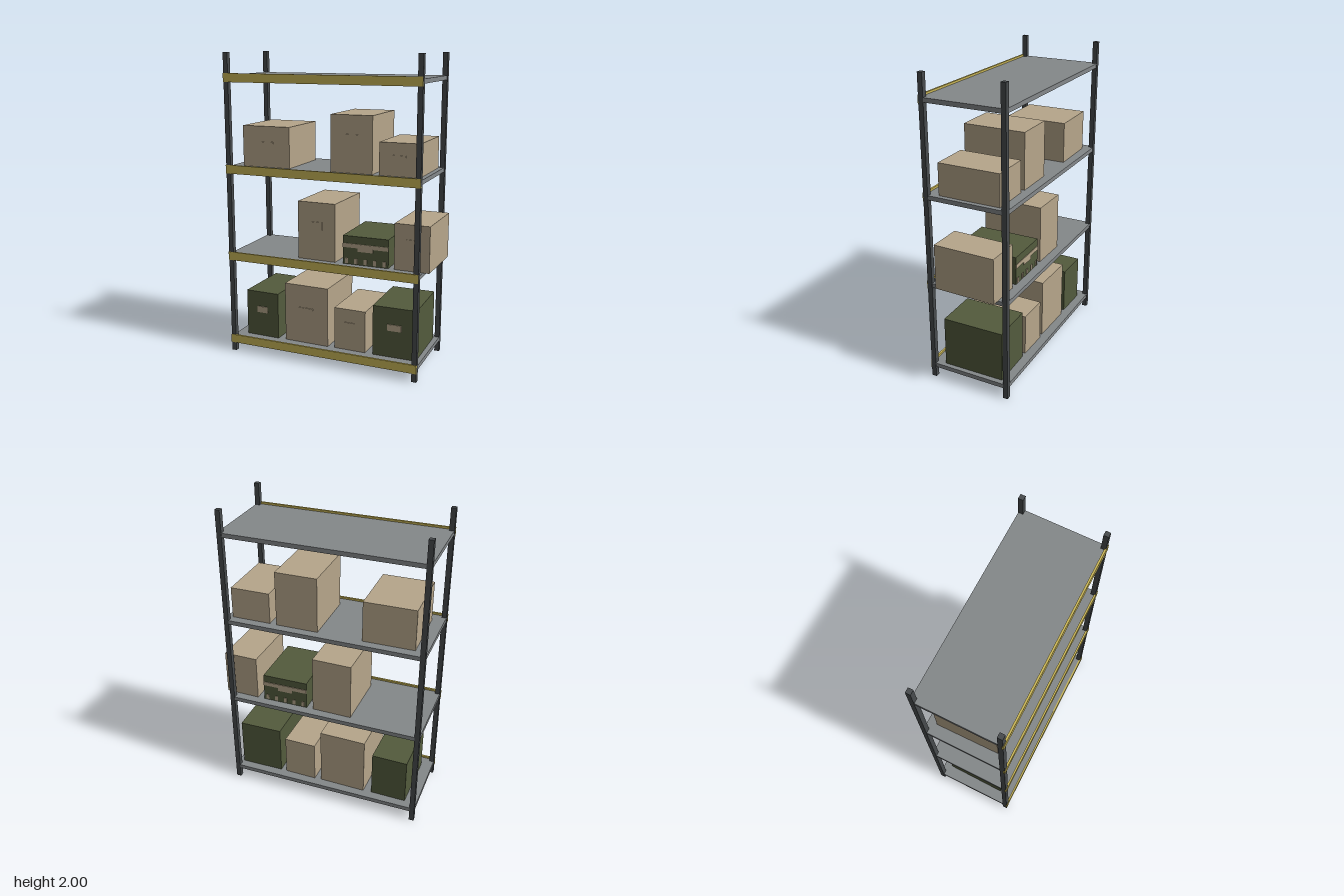
import * as THREE from 'three';

const mat = (name, color) => new THREE.MeshStandardMaterial({ name, color });

export function createModel() {
  const steel = mat('dark steel', 0x474b4d);
  const grey = mat('shelf grey', 0x84888a);
  const yellow = mat('beam yellow', 0xc9b657);
  const tan = mat('cardboard tan', 0xb6a68b);
  const green = mat('crate green', 0x535b3d);
  const model = new THREE.Group();
  model.name = 'storageRack';

  // Box given by its lower and upper limits on each axis
  function block(parent, name, material, x0, x1, y0, y1, z0, z1) {
    const mesh = new THREE.Mesh(new THREE.BoxGeometry(x1 - x0, y1 - y0, z1 - z0), material);
    mesh.position.set((x0 + x1) / 2, (y0 + y1) / 2, (z0 + z1) / 2);
    mesh.name = name;
    parent.add(mesh);
    return mesh;
  }

  // Corner posts
  for (const x of [-0.682, 0.6])
    for (const z of [-0.28, 0.244])
      block(model, 'post', steel, x, x + 0.032, 0, 2, z, z + 0.032);

  // Shelf decks, each with a front beam
  const decks = [0.1, 0.685, 1.27, 1.857];
  for (const y of decks) {
    block(model, 'shelf', grey, -0.68, 0.63, y - 0.028, y, -0.278, 0.268);
    block(model, 'frontBeam', yellow, -0.684, 0.632, y - 0.043, y + 0.013, 0.267, 0.28);
  }

  // Stored boxes: level, left x, right x, top y, turn, material, label height
  const D = 0.204;
  const boxes = [
    [0, -0.605, -0.362, 0.412, -0.015, green, 0.042],
    [0, -0.315, 0.005, 0.498, -0.02, tan, 0.012],
    [0, 0.043, 0.265, 0.378, -0.015, tan, 0.045],
    [0, 0.305, 0.6, 0.432, 0.012, green, 0.042],
    [1, -0.212, 0.057, 1.065, -0.016, tan, 0.05],
    [1, 0.1, 0.408, 0.87, 0.008, green, 0],
    [1, 0.445, 0.68, 0.98, -0.018, tan, 0.045],
    [2, -0.605, -0.268, 1.535, 0.012, tan, 0.012],
    [2, 0.018, 0.296, 1.63, 0.006, tan, 0.05],
    [2, 0.338, 0.6, 1.475, 0.006, tan, 0.012],
  ];
  for (const [level, x0, x1, top, turn, material, label] of boxes) {
    const item = new THREE.Group();
    const w = (x1 - x0 - Math.abs(turn) * 0.4) / 2;
    const h = top - decks[level];
    item.name = material === green ? 'greenCrate' : 'cardboardBox';
    item.position.set((x0 + x1) / 2, decks[level], -0.016);
    item.rotation.y = turn;
    model.add(item);
    block(item, 'body', material, -w, w, 0, h, -D, D);
    if (label) {
      const y = h * 0.6;
      const lw = w * 0.32;
      block(item, 'label', tan, -lw, lw, y - label / 2, y + label / 2, D, D + 0.005);
    } else {
      // Strap, clasp and small pegs on the front and back of the low crate
      for (const s of [-1, 1]) {
        const plate = (name, a, b, c, d) =>
          block(item, name, tan, a, b, c, d, s > 0 ? D : -D - 0.004, s > 0 ? D + 0.004 : -D);
        plate('strap', -w, w, 0.11, 0.136);
        plate('clasp', -0.05, 0.05, 0.088, 0.11);
        for (let i = -2; i <= 2; i++)
          plate('peg', i * 0.063 - 0.01, i * 0.063 + 0.01, 0.006, 0.04);
      }
    }
  }
  return model;
}
